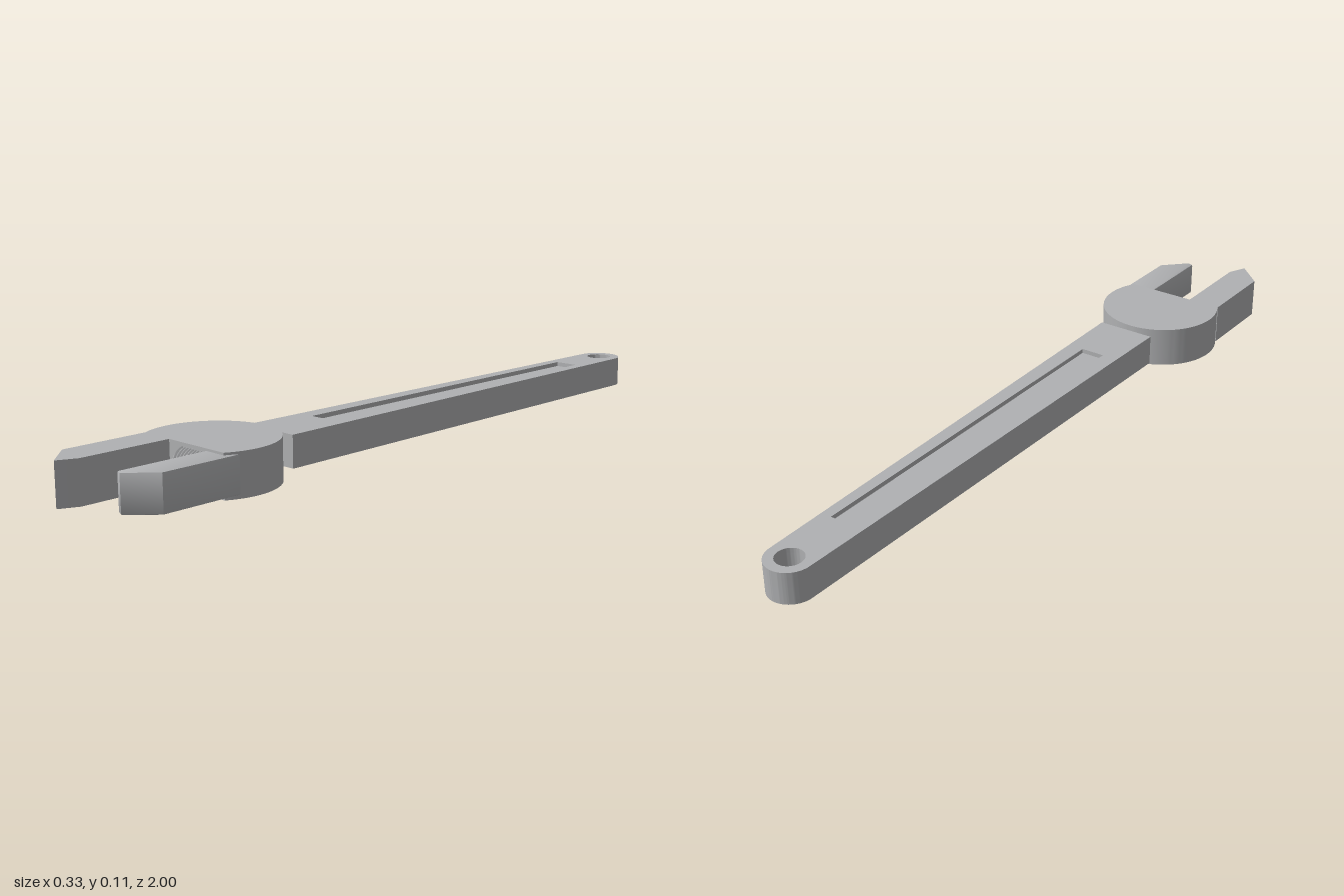
import * as THREE from 'three';
import { toCreasedNormals } from 'three/addons/utils/BufferGeometryUtils.js';

const steel = new THREE.MeshStandardMaterial({ color: 0xb0b1b3 });
steel.name = 'steel';

// Extrude a plan outline (x, z) between two heights
function slab(name, shape, y0, y1, bevel = 0) {
  let geo = new THREE.ExtrudeGeometry(shape, {
    depth: y1 - y0 - 2 * bevel,
    curveSegments: 40,
    bevelEnabled: bevel > 0,
    bevelSize: bevel,
    bevelThickness: bevel,
    bevelOffset: -bevel,
    bevelSegments: 2,
  });
  geo.rotateX(Math.PI / 2);
  geo.translate(0, y1 - bevel, 0);
  geo = toCreasedNormals(geo, 0.45);
  const mesh = new THREE.Mesh(geo, steel);
  mesh.name = name;
  return mesh;
}

const polygon = (points) => new THREE.Shape(points.map(([x, z]) => new THREE.Vector2(x, z)));

// Tapered handle outline with a rounded end and a hanging hole
function handleShape(withRecess) {
  const cx = 0.007, cz = -0.94, r = 0.06;
  const s = new THREE.Shape();
  s.moveTo(-0.074, 0.44);
  s.lineTo(cx - r, cz);
  s.absarc(cx, cz, r, Math.PI, 2 * Math.PI, false);
  s.lineTo(0.09, 0.44);
  s.closePath();
  const hole = new THREE.Path();
  hole.absarc(cx, cz, 0.035, 0, 2 * Math.PI, true);
  s.holes.push(hole);
  if (withRecess) {
    s.holes.push(new THREE.Path([
      [-0.026, -0.77], [-0.026, 0.265], [0.041, 0.265], [0.041, -0.77],
    ].map(([x, z]) => new THREE.Vector2(x, z))));
  }
  return s;
}

// Round head with the fixed jaw, cut flat across the mouth
function headShape() {
  const cx = -0.001, cz = 0.615, r = 0.167, mouth = 0.7;
  const a = Math.asin((mouth - cz) / r);
  const s = new THREE.Shape();
  s.moveTo(-0.052, mouth);
  s.lineTo(-0.052, 0.95);
  s.lineTo(-0.075, 1.0);
  s.lineTo(-0.147, 0.93);
  s.lineTo(-0.147, mouth);
  s.absarc(cx, cz, r, Math.PI - a, 2 * Math.PI + a, false);
  s.closePath();
  return s;
}

// Adjusting screw: a cylinder whose radius follows a helix
function makeScrew() {
  const group = new THREE.Group();
  group.name = 'adjustingScrew';
  const length = 0.086, pitch = 0.0098;
  const geo = new THREE.CylinderGeometry(0.047, 0.047, length, 40, 72);
  const p = geo.attributes.position;
  for (let i = 0; i < p.count; i++) {
    const x = p.getX(i), y = p.getY(i), z = p.getZ(i);
    if (Math.hypot(x, z) < 1e-5) continue;
    const turn = y / pitch + Math.atan2(z, x) / (2 * Math.PI);
    const phase = turn - Math.floor(turn);
    const k = (0.04 + 0.008 * (1 - Math.abs(2 * phase - 1))) / 0.047;
    p.setXYZ(i, x * k, y, z * k);
  }
  geo.computeVertexNormals();
  const thread = new THREE.Mesh(geo, steel);
  thread.name = 'screwThread';
  const pin = new THREE.Mesh(new THREE.CylinderGeometry(0.023, 0.023, 0.1, 24), steel);
  pin.name = 'screwPin';
  pin.position.y = 0.005;
  group.add(thread, pin);
  group.rotation.z = Math.PI / 2;
  group.position.set(0.04, 0.057, 0.688);
  return group;
}

export function createModel() {
  const model = new THREE.Group();
  model.name = 'adjustableWrench';

  // Handle: solid core between two rims that leave a recess on each face
  const handle = new THREE.Group();
  handle.name = 'handle';
  handle.add(
    slab('handleCore', handleShape(false), 0.027, 0.087),
    slab('handleTopRim', handleShape(true), 0.087, 0.099),
    slab('handleBottomRim', handleShape(true), 0.015, 0.027),
  );
  model.add(handle);

  // Head and fixed jaw
  model.add(slab('headAndFixedJaw', headShape(), 0, 0.111));

  // Sliding jaw
  model.add(slab('slidingJaw', polygon([
    [0.078, 0.64], [0.151, 0.64], [0.159, 0.67], [0.159, 0.885], [0.095, 0.95], [0.078, 0.943],
  ]), 0.009, 0.105, 0.004));

  model.add(makeScrew());
  return model;
}
